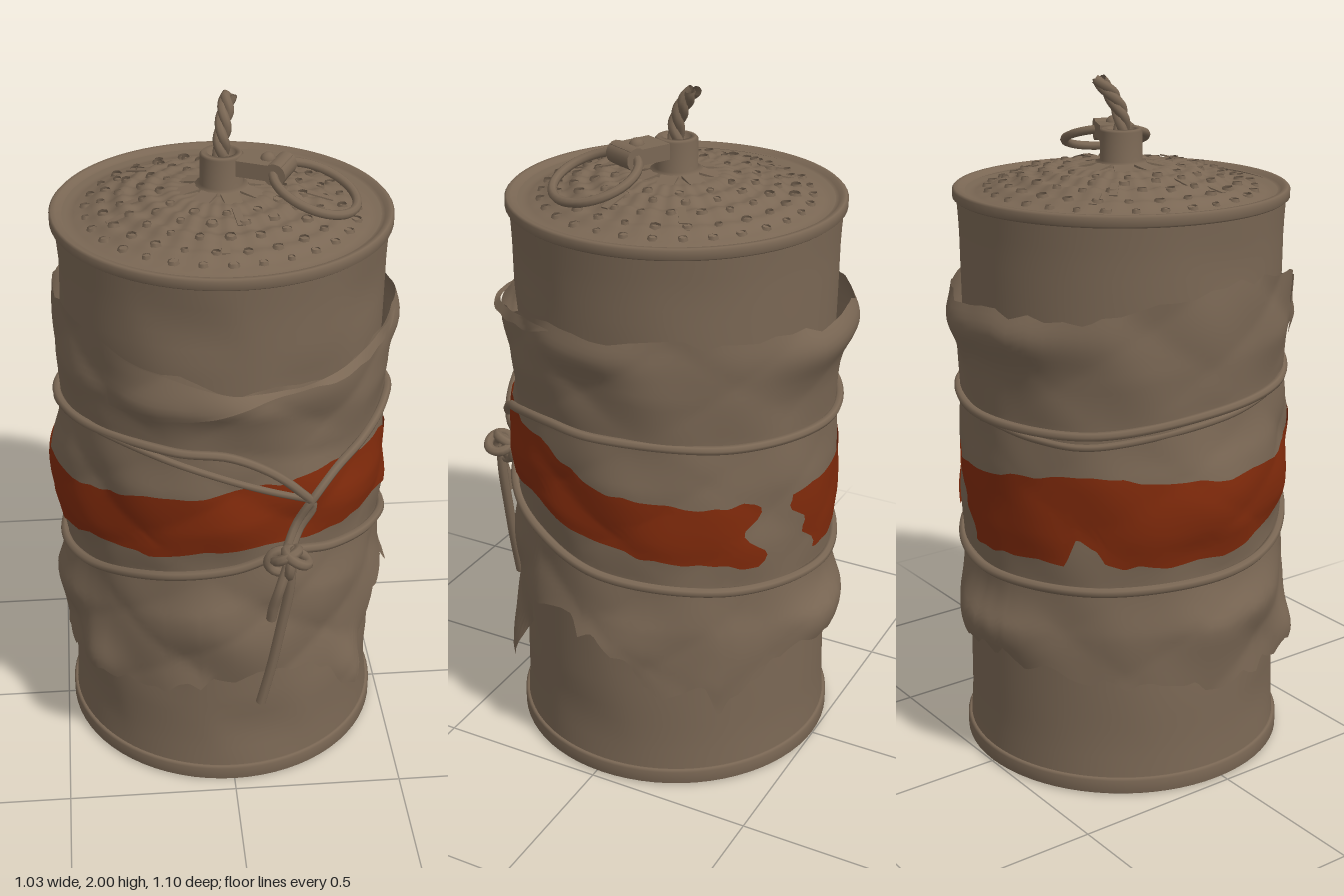
import * as THREE from 'three';
import { mergeGeometries } from 'three/addons/utils/BufferGeometryUtils.js';

const brown = new THREE.MeshStandardMaterial({ color: 0x7a6754, side: THREE.DoubleSide });
brown.name = 'dusty brown';
const rust = new THREE.MeshStandardMaterial({ color: 0x802a0b, side: THREE.DoubleSide });
rust.name = 'rust orange';

const rad = Math.PI / 180;
const lerp = THREE.MathUtils.lerp, clamp = THREE.MathUtils.clamp;
const polar = (a, r, y) => new THREE.Vector3(Math.sin(a * rad) * r, y, Math.cos(a * rad) * r);
const noise = (n) => { const s = Math.sin(n * 127.1 + 3.7) * 43758.5453; return s - Math.floor(s); };

// Periodic lookup in a list of [degrees, value]; 0 degrees is the front, 90 is +x
function around(table, a) {
  a = ((a % 360) + 360) % 360;
  const t = [...table, [table[0][0] + 360, table[0][1]]];
  for (let i = 0; i < t.length - 1; i++) {
    if (a >= t[i][0] && a <= t[i + 1][0]) return lerp(t[i][1], t[i + 1][1], (a - t[i][0]) / (t[i + 1][0] - t[i][0]));
  }
  return t[0][1];
}
// Irregular tooth shape for torn edges
function ragged(a, step, size) {
  const i = Math.floor(a / step), f = a / step - i, n = 360 / step;
  return size * (lerp(noise(i % n), noise((i + 1) % n), f) - 0.5);
}

// Surface from a rule; u runs around, v runs up
function grid(nu, nv, rule, closed) {
  const pos = [], idx = [], row = closed ? nu : nu + 1;
  for (let j = 0; j <= nv; j++) for (let i = 0; i < row; i++) pos.push(...rule(i / nu, j / nv).toArray());
  for (let j = 0; j < nv; j++) for (let i = 0; i < nu; i++) {
    const a = j * row + i, b = j * row + (i + 1) % row;
    idx.push(a, b, b + row, a, b + row, a + row);
  }
  const g = new THREE.BufferGeometry();
  g.setAttribute('position', new THREE.Float32BufferAttribute(pos, 3));
  g.setIndex(idx);
  g.computeVertexNormals();
  return g;
}

// Heights around the can
const clothTop = [[0, 1.37], [20, 1.37], [60, 1.42], [90, 1.43], [180, 1.41], [225, 1.41], [270, 1.49], [300, 1.48], [330, 1.42]];
const clothBottom = [[0, 0.4], [25, 0.43], [34, 0.38], [40, 0.29], [47, 0.23], [52, 0.36], [57, 0.42], [61, 0.54], [75, 0.53], [90, 0.5],
  [102, 0.42], [107, 0.33], [127, 0.33], [133, 0.25], [140, 0.32], [150, 0.38], [160, 0.41], [180, 0.42], [225, 0.35], [270, 0.31], [300, 0.33], [340, 0.36]];
const foldLow = [[0, 1.335], [25, 1.37], [65, 1.385], [75, 1.41], [315, 1.26], [330, 1.27], [345, 1.28]];
const upperRope = [[0, 1.16], [50, 1.1], [90, 1.13], [180, 1.09], [225, 1.09], [270, 1.14], [300, 1.16], [340, 1.17]];
const lowerRope = [[0, 0.79], [17, 0.83], [35, 0.8], [60, 0.76], [90, 0.7], [135, 0.66], [180, 0.63], [225, 0.635], [270, 0.65], [300, 0.68], [335, 0.75]];
const bandLow = [[0, 0.86], [30, 0.865], [65, 0.87], [90, 0.8], [120, 0.76], [150, 0.72], [175, 0.7], [215, 0.71], [219, 0.79], [226, 0.76],
  [229, 0.71], [270, 0.71], [290, 0.75], [305, 0.8], [330, 0.81], [345, 0.84]];
const bandHigh = [[0, 1.05], [30, 1.08], [65, 1.06], [90, 0.98], [120, 0.94], [150, 0.93], [175, 0.92], [200, 0.95], [225, 0.97], [270, 0.95],
  [300, 0.96], [330, 1.01]];

// Cloth bulges: [angle, height, angular width, height width, size]
const bulges = [[268, 0.88, 25, 0.13, 0.032], [275, 0.52, 22, 0.1, 0.034], [85, 0.45, 22, 0.1, 0.04], [82, 1.37, 24, 0.06, 0.025],
  [185, 1.35, 35, 0.08, 0.055], [180, 0.46, 25, 0.1, 0.048], [5, 1.33, 26, 0.07, 0.025], [350, 0.56, 25, 0.1, 0.016],
  [46, 0.3, 9, 0.1, 0.035], [308, 0.36, 10, 0.09, 0.04], [322, 1.3, 18, 0.05, 0.014], [130, 0.32, 9, 0.08, 0.012]];
function clothRadius(a, y) {
  const gap = Math.min(Math.abs(y - around(upperRope, a)), Math.abs(y - around(lowerRope, a)));
  const loose = clamp(gap / 0.14, 0, 1);
  const front = 0.65 + 0.35 * Math.cos((a - 10) * rad);
  const fold = Math.abs(Math.sin(a * rad * 3 + y * 9)) * 0.6 + Math.abs(Math.sin(a * rad * 4 - y * 13 + 1)) * 0.4;
  let r = 0.472 + loose * (0.005 + 0.022 * front * (fold - 0.2)) + 0.002 * Math.sin(a * rad * 11 + y * 15);
  for (const [ba, by, wa, wy, h] of bulges) {
    const d = (((a - ba) % 360) + 540) % 360 - 180;
    r += h * loose * Math.exp(-((d / wa) ** 2) - ((y - by) / wy) ** 2);
  }
  return r;
}

// Rope that follows the cloth, from [angle, height, lift] points
function rope(points, radius = 0.013, closed = false) {
  const pts = points.map(([a, y, lift = 0]) => polar(a, clothRadius(a, y) + 0.011 + lift, y));
  return new THREE.TubeGeometry(new THREE.CatmullRomCurve3(pts, closed), 160, radius, 7, closed);
}
const tube = (pts, r, n = 24) => new THREE.TubeGeometry(new THREE.CatmullRomCurve3(pts.map((p) => new THREE.Vector3(...p))), n, r, 8);

export function createModel() {
  const model = new THREE.Group();
  const can = new THREE.Group();
  can.name = 'wrappedCan';
  can.position.z = -0.02;
  model.add(can);
  const add = (name, geo, mat = brown, parent = can) => {
    const m = new THREE.Mesh(geo, mat);
    m.name = name;
    parent.add(m);
    return m;
  };
  const lathe = (pts) => new THREE.LatheGeometry(pts.map((p) => new THREE.Vector2(...p)), 72);

  // Dented can wall, base and rolled rims
  add('canWall', grid(120, 40, (u, v) => {
    const a = u * 360, y = lerp(0.03, 1.68, v), mid = Math.sin(v * Math.PI);
    const dent = 0.012 * Math.max(0, Math.sin(a * rad * 5 + y * 4) * Math.sin(y * 11)) * (0.5 + 0.5 * Math.cos(a * rad));
    return polar(a, 0.47 - 0.006 * Math.min(1, mid * 5) - 0.008 * mid * mid - dent * Math.min(1, mid * 3), y);
  }, true));
  add('base', new THREE.CylinderGeometry(0.474, 0.474, 0.01, 72)).position.y = 0.006;
  for (const [name, y, h] of [['bottomRim', 0, 0.05], ['topRim', 1.658, 0.034]]) {
    add(name, lathe([[0.445, y], [0.472, y], [0.48, y + 0.006], [0.48, y + h - 0.006], [0.474, y + h], [0.462, y + h], [0.455, y + h - 0.01], [0.445, y + h - 0.012]]));
  }

  // Domed lid with radial and ringed ripples
  const lidY = (r, a) => {
    const t = clamp((0.42 - r) / 0.34, 0, 1), f = Math.sin(t * Math.PI);
    return 1.672 + 0.075 * Math.sin(t * Math.PI / 2) + f * (0.006 * Math.cos(r * 90) + 0.003 * Math.cos(a * rad * 28));
  };
  add('lid', grid(168, 44, (u, v) => {
    const r = lerp(0.465, 0.001, v);
    return polar(u * 360, r, lidY(r, u * 360));
  }, true));

  // Low burrs around the punched holes
  const burrs = [];
  [[0.17, 12], [0.225, 16], [0.285, 22], [0.335, 25], [0.38, 30]].forEach(([r, n], k) => {
    for (let i = 0; i < n; i++) {
      const a = (i + 0.5 * (k % 2)) * 360 / n, s = 0.011 + 0.006 * noise(i + k * 31);
      const g = new THREE.CylinderGeometry(s * 0.9, s * 1.1, 0.01, 6, 1, true);
      g.rotateY(noise(i * 3 + k) * 3).rotateX(0.3 * (noise(i + 50 * k) - 0.5));
      const p = polar(a, r, lidY(r, a) + 0.002);
      burrs.push(g.translate(p.x, p.y, p.z));
    }
  });
  // Bent slivers of torn metal
  for (let i = 0; i < 9; i++) {
    const a = noise(i + 7) * 360, r = 0.2 + 0.14 * noise(i + 90);
    const g = new THREE.BoxGeometry(0.022, 0.004, 0.075).rotateX(0.25).rotateY(a * rad);
    const p = polar(a, r, lidY(r, a) + 0.005);
    burrs.push(g.translate(p.x, p.y, p.z));
  }
  add('lidBurrs', mergeGeometries(burrs));

  // Fuse socket and petals around it
  add('fuseSocket', lathe([[0.08, 1.735], [0.075, 1.755], [0.06, 1.76], [0.06, 1.842], [0.054, 1.848], [0.04, 1.848], [0.036, 1.82], [0, 1.82]]));
  for (let i = 0; i < 8; i++) {
    const petal = add('socketPetal', new THREE.BoxGeometry(0.05, 0.006, 0.06));
    petal.position.copy(polar(i * 45 + 12, 0.1, 1.747));
    petal.rotation.set(0.2, (i * 45 + 12) * rad, 0, 'YXZ');
  }

  // Twisted fuse cord
  const fusePath = new THREE.CatmullRomCurve3([[0, 1.81, 0], [0, 1.88, 0], [0.01, 1.94, -0.025], [0.024, 1.988, -0.062]].map((p) => new THREE.Vector3(...p)));
  for (let k = 0; k < 3; k++) {
    const pts = [];
    for (let i = 0; i <= 16; i++) {
      const w = i * 0.55 + k * Math.PI * 2 / 3;
      pts.push(fusePath.getPoint(i / 16).add(new THREE.Vector3(Math.cos(w) * 0.011, 0, Math.sin(w) * 0.011)).toArray());
    }
    add('fuseStrand', tube(pts, 0.014, 40));
  }

  // Pull ring with its tab
  const pull = new THREE.Group();
  pull.name = 'pullRing';
  pull.position.y = 1.82;
  pull.rotation.y = -26 * rad;
  can.add(pull);
  add('ringTab', new THREE.BoxGeometry(0.13, 0.045, 0.1), brown, pull).position.set(0.125, 0.005, 0);
  add('tabRivet', new THREE.SphereGeometry(0.022, 12, 8), brown, pull).position.set(0.135, 0.024, 0);
  const sleeve = add('ringSleeve', new THREE.CylinderGeometry(0.032, 0.032, 0.1, 14), brown, pull);
  sleeve.position.set(0.17, 0.002, 0);
  sleeve.rotation.x = Math.PI / 2;
  const ring = add('ring', new THREE.TorusGeometry(0.122, 0.013, 8, 40).rotateX(Math.PI / 2), brown, pull);
  ring.position.set(0.272, -0.038, 0);
  ring.rotation.z = -0.36;

  // Crumpled cloth wrap with torn edges
  add('clothWrap', grid(240, 56, (u, v) => {
    const a = u * 360;
    const low = around(clothBottom, a) + ragged(a, 4, 0.05), high = around(clothTop, a) + ragged(a, 6, 0.025);
    const y = lerp(low, high, v);
    return polar(a, clothRadius(a, y), y);
  }, true));

  // Loose fold hanging over the upper front
  add('frontFold', grid(60, 8, (u, v) => {
    const a = lerp(316, 434, u), y = lerp(around(foldLow, a) + ragged(a, 6, 0.02), around(clothTop, a) - 0.005, v);
    return polar(a, clothRadius(a, y) + 0.004 + 0.018 * (1 - v) * Math.sin(u * Math.PI), y);
  }, false));

  // Painted band, broken at the back
  add('paintedBand', grid(240, 12, (u, v) => {
    const start = 158 + 15 * (1 - v) + 2 * Math.sin(v * 14), end = 506 - 3 * v + 4 * Math.sin(v * 9);
    const a = lerp(start, end, u);
    const y = lerp(around(bandLow, a) + ragged(a, 5, 0.016), around(bandHigh, a) + ragged(a + 90, 5, 0.016), v);
    return polar(a, clothRadius(a, y) + 0.005, y);
  }, false), rust);

  // Ropes: upper strands crossing down to the knot and one lower loop
  add('upperRope', rope([[16, 0.85, 0.02], [21, 0.92], [26, 1.0], [36, 1.06], [50, 1.1], [70, 1.13], [90, 1.13], [135, 1.11], [180, 1.09], [225, 1.09],
    [270, 1.14], [300, 1.16], [340, 1.17], [358, 1.16], [372, 1.1], [381, 1.03], [386, 0.97], [382, 0.9], [378, 0.85, 0.02]]));
  add('upperRopeSecond', rope([[180, 1.085], [205, 1.065], [225, 1.06], [270, 1.12], [300, 1.16], [335, 1.145], [355, 1.1], [370, 1.05], [384, 1.0]], 0.01));
  add('lowerRope', rope(lowerRope, 0.014, true));

  // Knot and hanging ends
  const knot = new THREE.Group();
  knot.name = 'knot';
  knot.position.set(0.145, 0.84, 0.51);
  can.add(knot);
  [[0, 0, 0], [1.2, 0.4, 0], [0.5, 1.3, 0.4], [1.5, -0.5, 0.8]].forEach(([x, y, z], i) => {
    const loop = add('knotLoop', new THREE.TorusGeometry(0.036, 0.015, 7, 20), brown, knot);
    loop.rotation.set(x, y, z);
    loop.position.set(0.014 * (i - 1.5), 0.012 * (i % 2 ? 1 : -1), 0.006 * i - 0.006);
  });
  add('longRopeEnd', tube([[0.15, 0.83, 0.53], [0.145, 0.74, 0.53], [0.125, 0.62, 0.53], [0.1, 0.48, 0.53], [0.07, 0.345, 0.53]], 0.015));
  add('shortRopeEnd', tube([[0.14, 0.83, 0.53], [0.115, 0.76, 0.55], [0.1, 0.7, 0.545], [0.095, 0.655, 0.54]], 0.015));
  return model;
}
